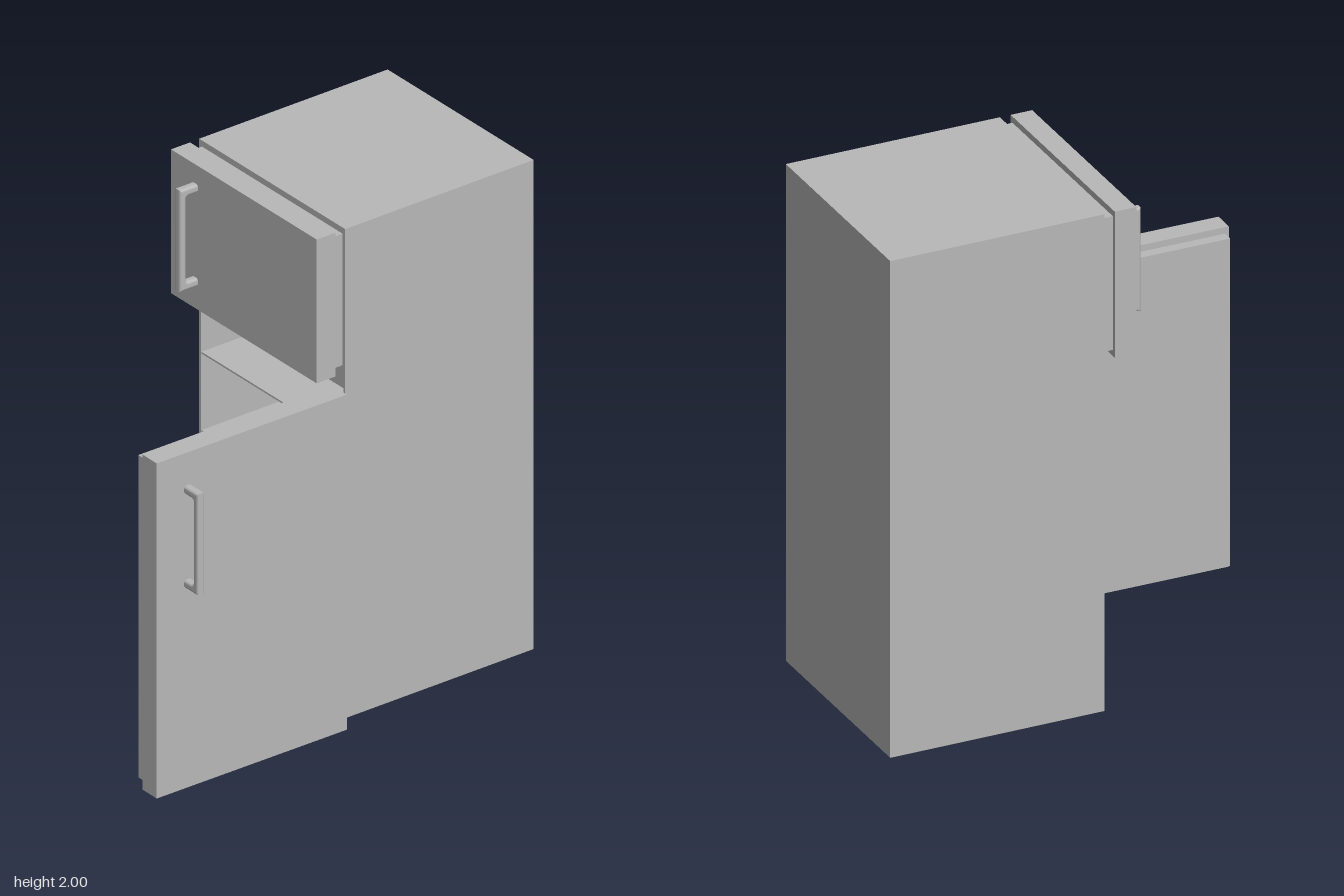
import * as THREE from 'three';

const enamel = new THREE.MeshStandardMaterial({ color: 0xb8b8b8 });
enamel.name = 'grey enamel';

// Box given by its minimum and maximum corners
function box(name, [x0, y0, z0], [x1, y1, z1]) {
  const geometry = new THREE.BoxGeometry(x1 - x0, y1 - y0, z1 - z0);
  geometry.translate((x0 + x1) / 2, (y0 + y1) / 2, (z0 + z1) / 2);
  const mesh = new THREE.Mesh(geometry, enamel);
  mesh.name = name;
  return mesh;
}

// C-shaped pull handle standing out along +z, centred on x and y
function handle() {
  const h = 0.198, depth = 0.07, bar = 0.018, post = 0.012, r = 0.025, bevel = 0.01;
  const shape = new THREE.Shape();
  shape.moveTo(-0.01, -h);
  shape.lineTo(depth, -h);
  shape.lineTo(depth, h);
  shape.lineTo(-0.01, h);
  shape.lineTo(-0.01, h - post);
  const inner = depth - bar + bevel, top = h - post;
  shape.lineTo(inner - r, top);
  shape.quadraticCurveTo(inner, top, inner, top - r);
  shape.lineTo(inner, r - top);
  shape.quadraticCurveTo(inner, -top, inner - r, -top);
  shape.lineTo(-0.01, -top);
  shape.closePath();
  const geometry = new THREE.ExtrudeGeometry(shape, {
    depth: 0.014, bevelEnabled: true, bevelSize: bevel, bevelThickness: bevel,
    bevelSegments: 4, curveSegments: 6,
  });
  geometry.translate(0, 0, -0.007);
  geometry.rotateY(-Math.PI / 2);
  const mesh = new THREE.Mesh(geometry, enamel);
  mesh.name = 'handle';
  return mesh;
}

// Door hinged at its local origin, reaching towards -x, front facing +z
function door(name, bottom, top, inset, handleY) {
  const group = new THREE.Group();
  group.name = name;
  group.add(
    box('doorPanel', [-0.858, bottom, 0], [0, top, 0.086]),
    box('doorLiner', [-0.843, bottom + inset, -0.043], [-0.015, top - inset, 0]),
  );
  const pull = handle();
  pull.position.set(-0.717, handleY, 0.086);
  group.add(pull);
  return group;
}

export function createModel() {
  const model = new THREE.Group();
  model.name = 'refrigerator';

  const L = -0.51, R = 0.35, back = -0.88, front = -0.025, wall = 0.01;

  // Cabinet: closed upper block, thin walls around the open lower part
  const cabinet = new THREE.Group();
  cabinet.name = 'cabinet';
  cabinet.add(
    box('freezerBody', [L, 1.345, back], [R, 2, front]),
    box('rightWall', [L, 0, back], [L + wall, 1.345, front]),
    box('leftWall', [R - wall, 0, back], [R, 1.345, front]),
    box('backWall', [L + wall, 0, back], [R - wall, 1.345, back + wall]),
    box('floor', [L + wall, 0.025, back + wall], [R - wall, 0.03, front]),
    box('plinth', [L + wall, 0, front - wall], [R - wall, 0.025, front]),
  );
  for (const y of [0.36, 0.805, 1.125]) {
    cabinet.add(box('shelf', [L + wall, y, back + wall], [R - wall, y + 0.007, front - 0.003]));
  }
  model.add(cabinet);

  // Closed upper door
  const freezerDoor = door('freezerDoor', 1.412, 2, 0.025, 1.715);
  freezerDoor.position.set(R, 0, 0.018);
  model.add(freezerDoor);

  // Lower door standing open
  const fridgeDoor = door('fridgeDoor', 0, 1.37, 0.026, 1.028);
  fridgeDoor.position.set(0.336, 0, 0.022);
  fridgeDoor.rotation.y = THREE.MathUtils.degToRad(89.6);
  model.add(fridgeDoor);

  return model;
}
